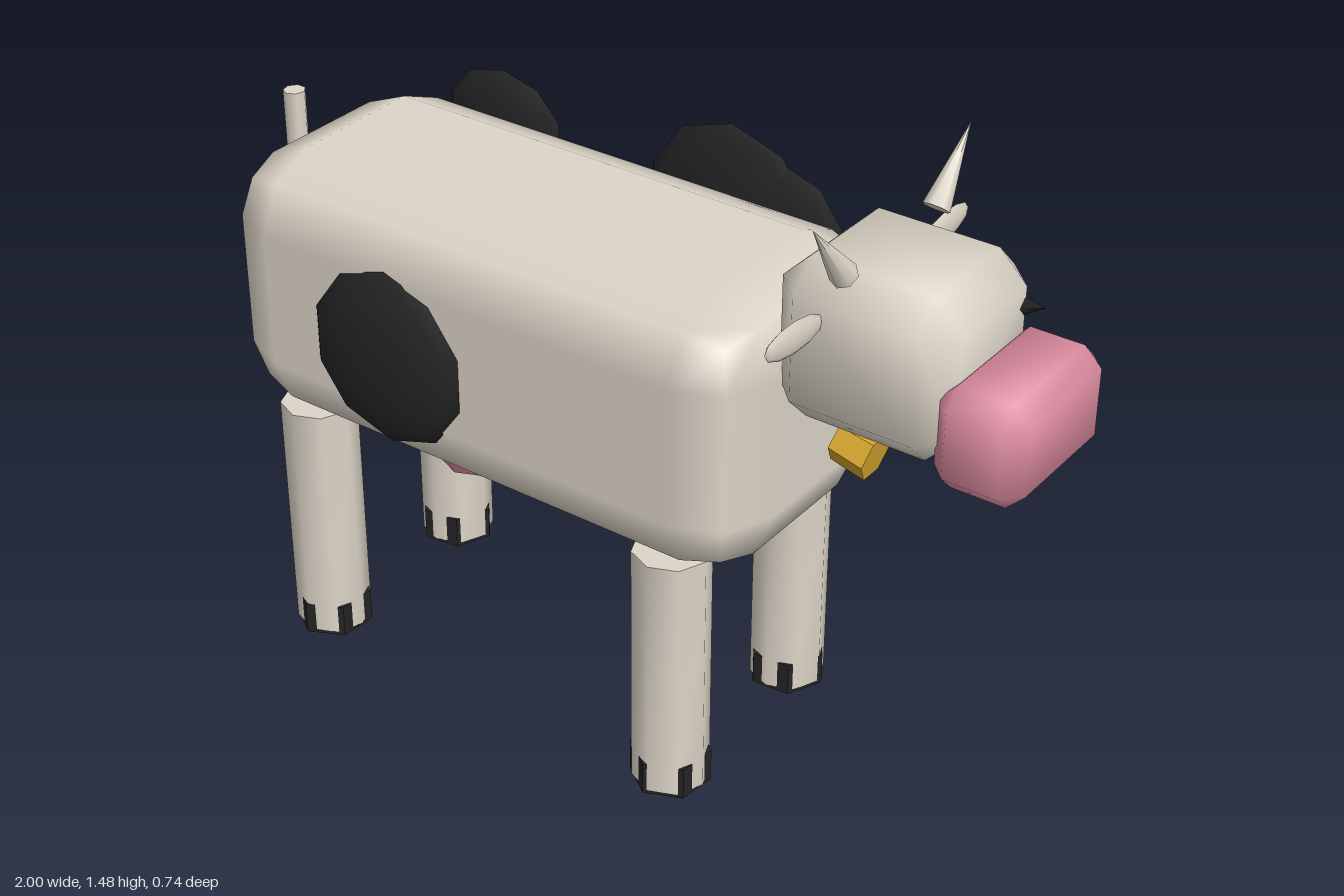
import * as THREE from 'three';
import { toCreasedNormals } from 'three/addons/utils/BufferGeometryUtils.js';
import { RoundedBoxGeometry } from 'three/addons/geometries/RoundedBoxGeometry.js';
import { ConvexGeometry } from 'three/addons/geometries/ConvexGeometry.js';

// Box with one 45 degree cut along every edge, softly shaded
function chamferBox(w, h, d, c) {
  const points = [];
  for (const sx of [-1, 1]) for (const sy of [-1, 1]) for (const sz of [-1, 1]) {
    for (let axis = 0; axis < 3; axis++) {
      const p = [w / 2 - c, h / 2 - c, d / 2 - c];
      p[axis] += c;
      points.push(new THREE.Vector3(sx * p[0], sy * p[1], sz * p[2]));
    }
  }
  return toCreasedNormals(new ConvexGeometry(points), 1.1);
}

export function createModel() {
  const model = new THREE.Group();
  model.name = 'cow';

  const material = (name, color) => {
    const m = new THREE.MeshStandardMaterial({ color });
    m.name = name;
    return m;
  };
  const cream = material('cream hide', 0xddd5c8);
  const black = material('black', 0x242424);
  const pink = material('pink skin', 0xdd8ca1);
  const gold = material('gold', 0xd6a62e);

  const add = (name, geometry, mat, x, y, z) => {
    const mesh = new THREE.Mesh(geometry, mat);
    mesh.name = name;
    mesh.position.set(x, y, z);
    model.add(mesh);
    return mesh;
  };
  const creased = (geometry) => toCreasedNormals(geometry, 0.9);

  // Body, head and muzzle
  add('body', new RoundedBoxGeometry(1.39, 0.63, 0.63, 1, 0.155), cream, -0.245, 0.885, 0);
  add('head', chamferBox(0.405, 0.365, 0.37, 0.065), cream, 0.632, 1.148, 0);
  add('muzzle', chamferBox(0.2, 0.23, 0.355, 0.04), pink, 0.9, 1.055, 0);

  // Legs, with hoof corners breaking through the leg sides
  const legGeometry = creased(new THREE.CylinderGeometry(0.087, 0.087, 0.595, 8));
  const hoofGeometry = new THREE.CylinderGeometry(0.091, 0.091, 0.08, 6).toNonIndexed();
  hoofGeometry.computeVertexNormals();
  for (const [end, x] of [['front', 0.248], ['back', -0.742]]) {
    for (const [side, z] of [['Left', 0.23], ['Right', -0.23]]) {
      add(end + side + 'Leg', legGeometry, cream, x, 0.307, z);
      add(end + side + 'Hoof', hoofGeometry, black, x, 0.04, z).rotation.y = x + z * 3;
    }
  }

  // Udder
  const udderProfile = [[0, 0.43], [0.085, 0.43], [0.105, 0.465], [0.13, 0.57], [0.09, 0.62], [0, 0.64]]
    .map(([r, y]) => new THREE.Vector2(r, y));
  add('udder', creased(new THREE.LatheGeometry(udderProfile, 8)), pink, -0.475, 0, -0.005);

  // Tail
  add('tail', creased(new THREE.CylinderGeometry(0.026, 0.026, 0.615, 7)), cream, -0.972, 0.917, 0);

  // Horns and ears, mirrored
  const hornGeometry = creased(new THREE.ConeGeometry(0.03, 0.185, 7));
  const earGeometry = new THREE.SphereGeometry(1, 8, 6).rotateX(Math.PI / 2);
  for (const [side, s] of [['left', 1], ['right', -1]]) {
    const horn = add(side + 'Horn', hornGeometry, cream, 0.597, 1.413, s * 0.226);
    horn.rotation.x = s * 0.68;
    const ear = add(side + 'Ear', earGeometry, cream, 0.557, 1.238, s * 0.272);
    ear.scale.set(0.011, 0.036, 0.1);
    ear.rotation.x = -s * 0.08;
  }

  // Eye
  const eye = add('eye', new THREE.ConeGeometry(0.024, 0.06, 4), black, 0.852, 1.228, -0.117);
  eye.rotation.z = -1.35;

  // Bell
  const bell = add('bell', new THREE.CylinderGeometry(0.05, 0.054, 0.085, 6).toNonIndexed(), gold, 0.55, 0.852, 0.004);
  bell.geometry.computeVertexNormals();
  bell.rotation.z = Math.PI / 2 - 0.2;

  // Hide patches: flattened faceted domes, [x, y, z, half width, half height, half depth]
  const patchGeometry = creased(new THREE.SphereGeometry(1, 10, 6).rotateX(Math.PI / 2).rotateZ(Math.PI / 10));
  const patches = [
    [-0.445, 0.858, 0.312, 0.212, 0.21, 0.052],
    [-0.63, 1.115, -0.325, 0.165, 0.13, 0.036],
    [-0.68, 0.9, -0.327, 0.212, 0.212, 0.046],
    [0.0, 1.075, -0.325, 0.22, 0.217, 0.044],
    [0.1, 1.035, -0.328, 0.212, 0.207, 0.044],
  ];
  patches.forEach(([x, y, z, w, h, d], i) => {
    add('hidePatch' + (i + 1), patchGeometry, black, x, y, z).scale.set(w, h, d);
  });

  return model;
}
